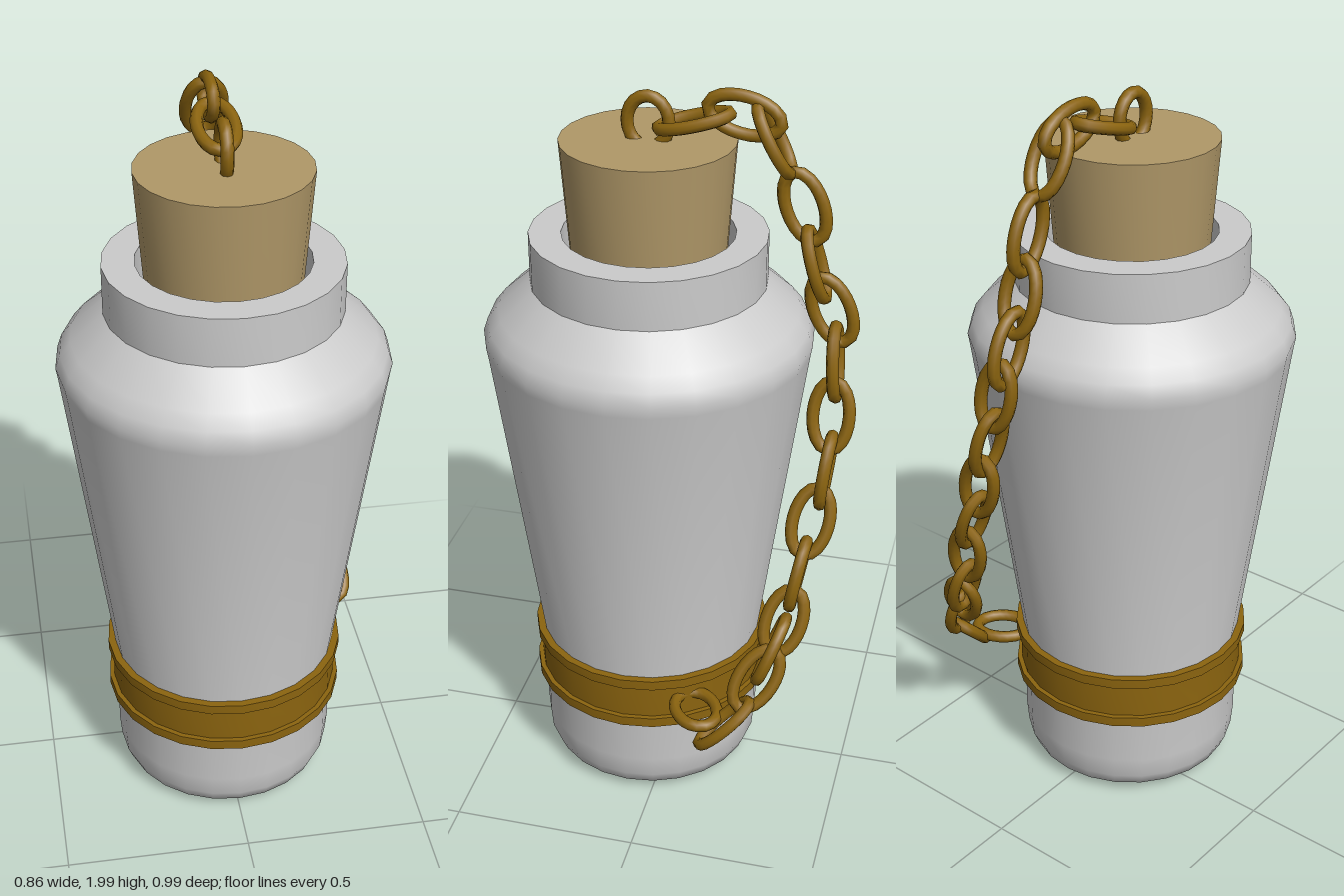
import * as THREE from 'three';
import { toCreasedNormals } from 'three/addons/utils/BufferGeometryUtils.js';

const AXIS_Z = 0.07; // the bottle sits slightly forward of the chain

const clay = new THREE.MeshStandardMaterial({ color: 0xcccccc });
const cork = new THREE.MeshStandardMaterial({ color: 0xb09868 });
const brass = new THREE.MeshStandardMaterial({ color: 0x8b640f });

// Turned part from [radius, height] pairs, with sharp edges kept
function turned(name, profile, material) {
  const points = profile.map(([r, y]) => new THREE.Vector2(r, y));
  const geometry = toCreasedNormals(new THREE.LatheGeometry(points, 24), 0.6);
  const mesh = new THREE.Mesh(geometry, material);
  mesh.name = name;
  mesh.position.z = AXIS_Z;
  return mesh;
}

// Oval chain link, long along y, lying in the xy plane
function linkGeometry(halfWidth, halfLength) {
  const points = [];
  for (let i = 0; i < 12; i++) {
    const a = (i / 12) * Math.PI * 2;
    points.push(new THREE.Vector3(Math.cos(a) * halfWidth, Math.sin(a) * halfLength, 0));
  }
  return new THREE.TubeGeometry(new THREE.CatmullRomCurve3(points, true), 20, 0.0165, 8, true);
}

// Link centres from the cork down to the band
const centres = [
  [0, 1.905, -0.045], [0, 1.93, -0.17], [0, 1.875, -0.245], [0, 1.71, -0.325],
  [0, 1.56, -0.36], [0, 1.44, -0.405], [0.03, 1.31, -0.425], [0.06, 1.17, -0.425],
  [0.1, 1.03, -0.425], [0.15, 0.9, -0.4], [0.2, 0.765, -0.38], [0.24, 0.635, -0.355],
  [0.275, 0.565, -0.33], [0.315, 0.49, -0.3], [0.365, 0.365, -0.225],
].map((p) => new THREE.Vector3(...p));

// Directions that do not simply follow the neighbouring centres
const directions = {
  0: [0, 0.06, -0.22],
  1: [0, -0.045, -0.22],
  2: [0, -0.17, -0.09],
  5: [0, -0.17, -0.07],
  14: [0.04, -0.12, 0.12],
};

function buildChain() {
  const chain = new THREE.Group();
  chain.name = 'chain';
  const geometry = linkGeometry(0.047, 0.093);
  centres.forEach((centre, i) => {
    const before = centres[Math.max(i - 1, 0)];
    const after = centres[Math.min(i + 1, centres.length - 1)];
    const along = directions[i]
      ? new THREE.Vector3(...directions[i])
      : after.clone().sub(before);
    along.normalize();
    // Alternate links turn a quarter about the chain
    const side = new THREE.Vector3(1, 0, 0).addScaledVector(along, -along.x).normalize();
    const across = i % 2 === 0 ? side : new THREE.Vector3().crossVectors(along, side);
    const normal = new THREE.Vector3().crossVectors(across, along);
    const link = new THREE.Mesh(geometry, brass);
    link.name = 'chainLink' + (i + 1);
    link.quaternion.setFromRotationMatrix(new THREE.Matrix4().makeBasis(across, along, normal));
    link.position.copy(centre);
    chain.add(link);
  });
  return chain;
}

export function createModel() {
  const model = new THREE.Group();
  model.name = 'stopperedBottle';

  // Bottle with rounded foot, shoulder, neck and open mouth
  model.add(turned('bottle', [
    [0, 0.005], [0.21, 0.005], [0.255, 0.014], [0.285, 0.035], [0.3, 0.07], [0.305, 0.13],
    [0.305, 0.4], [0.425, 1.3], [0.43, 1.33], [0.418, 1.365], [0.39, 1.4], [0.305, 1.475],
    [0.305, 1.605], [0.222, 1.605], [0.222, 1.48], [0, 1.48],
  ], clay));

  // Tapered stopper
  model.add(turned('stopper', [[0, 1.48], [0.195, 1.48], [0.222, 1.85], [0, 1.85]], cork));

  // Metal band with a raised rim at each edge
  model.add(turned('band', [
    [0.29, 0.268], [0.328, 0.268], [0.328, 0.296], [0.315, 0.296],
    [0.315, 0.396], [0.328, 0.396], [0.328, 0.424], [0.29, 0.424],
  ], brass));

  // Upright eye in the stopper
  const eye = new THREE.Mesh(linkGeometry(0.053, 0.065), brass);
  eye.name = 'stopperEye';
  eye.rotation.y = Math.PI / 2;
  eye.position.set(0, 1.893, AXIS_Z);
  model.add(eye);

  // Flat eye on the band, pointing away from the bottle's axis
  const bandEye = new THREE.Mesh(linkGeometry(0.055, 0.075), brass);
  bandEye.name = 'bandEye';
  bandEye.rotation.set(-Math.PI / 2, 0, -1.01);
  bandEye.position.set(0.31, 0.352, -0.135);
  model.add(bandEye);

  model.add(buildChain());
  return model;
}
